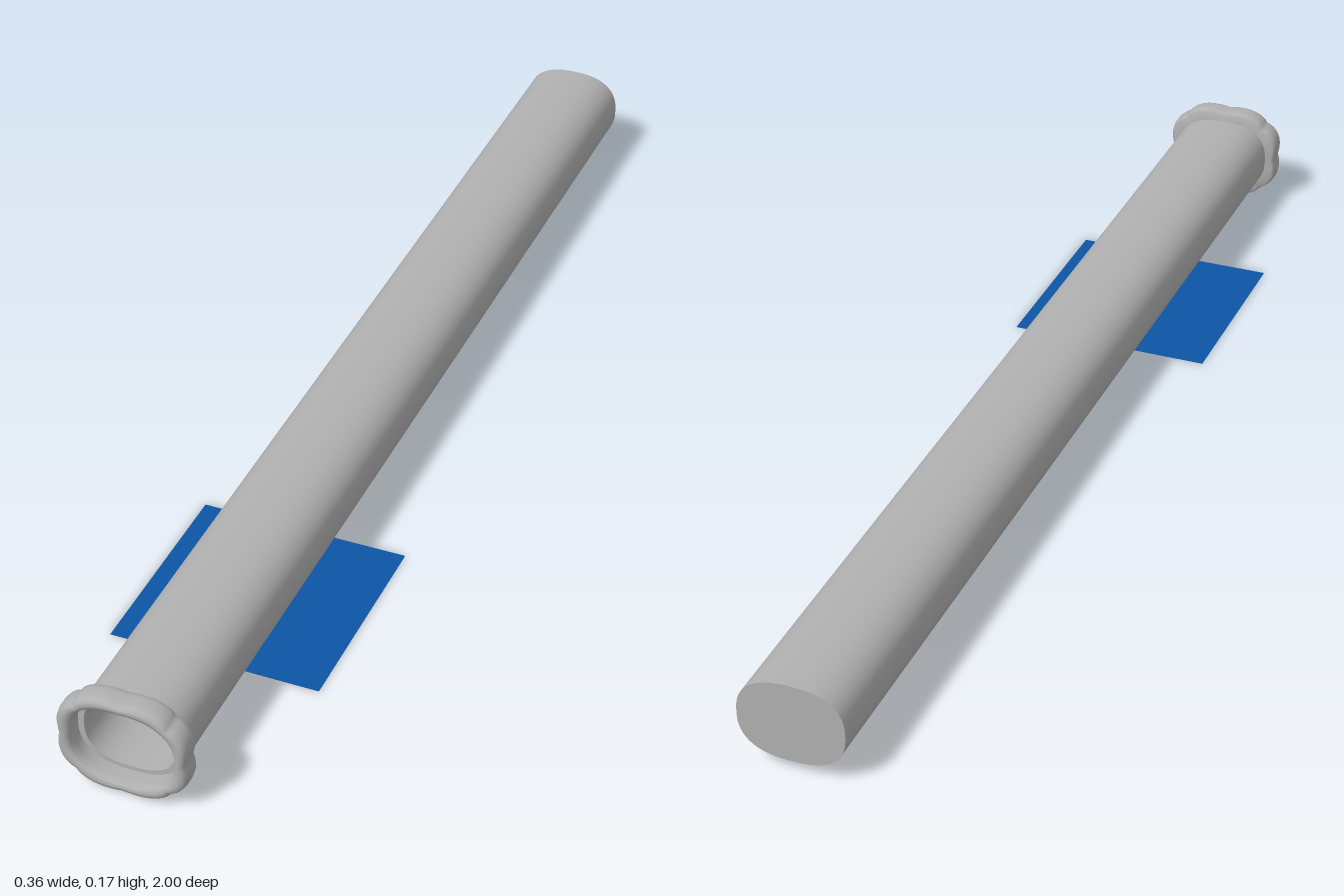
import * as THREE from 'three';

const SEGMENTS = 96;
const CENTER_Y = 0.088;

// Rounded oval of half size a by b; flare 0..1 blends in the eight-lobed rim outline
function ring(a, b, z, flare = 0) {
  const points = [];
  for (let j = 0; j < SEGMENTS; j++) {
    const t = (j / SEGMENTS) * Math.PI * 2;
    const lobe = 0.94 + 0.06 * Math.pow(Math.abs(Math.sin(4 * t)), 0.7);
    const c = Math.cos(t), s = Math.sin(t);
    const ox = Math.sign(c) * Math.pow(Math.abs(c), 0.8);
    const oy = Math.sign(s) * Math.pow(Math.abs(s), 0.8);
    const rx = THREE.MathUtils.lerp(a, 0.109 * lobe, flare);
    const ry = THREE.MathUtils.lerp(b, 0.0885 * lobe, flare);
    points.push(ox * rx, CENTER_Y + oy * ry, z);
  }
  return points;
}

// Skin through consecutive rings, outside running towards +z
function loft(rings) {
  const indices = [];
  for (let i = 0; i < rings.length - 1; i++) {
    for (let j = 0; j < SEGMENTS; j++) {
      const k = (j + 1) % SEGMENTS;
      const a = i * SEGMENTS + j, b = i * SEGMENTS + k;
      const c = a + SEGMENTS, d = b + SEGMENTS;
      indices.push(a, b, c, b, d, c);
    }
  }
  const geometry = new THREE.BufferGeometry();
  geometry.setAttribute('position', new THREE.Float32BufferAttribute(rings.flat(), 3));
  geometry.setIndex(indices);
  geometry.computeVertexNormals();
  return geometry;
}

export function createModel() {
  const group = new THREE.Group();
  const grey = new THREE.MeshStandardMaterial({ color: 0xb0b0b0 });
  grey.name = 'grey metal';
  const blue = new THREE.MeshStandardMaterial({ color: 0x0d55a5, side: THREE.DoubleSide });
  blue.name = 'blue';

  const add = (name, geometry, material) => {
    const mesh = new THREE.Mesh(geometry, material);
    mesh.name = name;
    group.add(mesh);
    return mesh;
  };

  const A = 0.087, B = 0.068;   // outer tube half size
  const IA = 0.075, IB = 0.06;  // bore half size

  // Long oval tube with a closed rear end
  add('tube', loft([ring(A, B, -1), ring(A, B, 0.96)]), grey);
  add('rearCap', loft([ring(0, 0, -1), ring(A, B, -1)]), grey);

  // Scalloped rim with a rounded edge, rolling into the mouth
  const profile = [
    [0, 0.955], [0.75, 0.957], [0.93, 0.961], [1, 0.97], [1, 0.985],
    [0.92, 0.994], [0.75, 0.999], [0.45, 1], [0.15, 0.998], [0.02, 0.993], [0, 0.984],
  ];
  add('scallopedRim', loft(profile.map(([flare, z]) => ring(0.085, 0.067, z, flare))), grey);

  // Step inside the mouth, then the hollow bore and its floor
  add('mouthWall', loft([ring(0.085, 0.067, 0.984), ring(0.085, 0.067, 0.965)]), grey);
  add('mouthStep', loft([ring(0.085, 0.067, 0.965), ring(IA, IB, 0.965)]), grey);
  add('bore', loft([ring(IA, IB, 0.965), ring(IA, IB, -0.99)]), grey);
  add('boreFloor', loft([ring(IA, IB, -0.99), ring(0, 0, -0.99)]), grey);

  // Flat square plate beneath the tube
  const plate = add('basePlate', new THREE.PlaneGeometry(0.357, 0.357), blue);
  plate.rotation.x = -Math.PI / 2;
  plate.position.set(0, 0, 0.5);

  return group;
}
